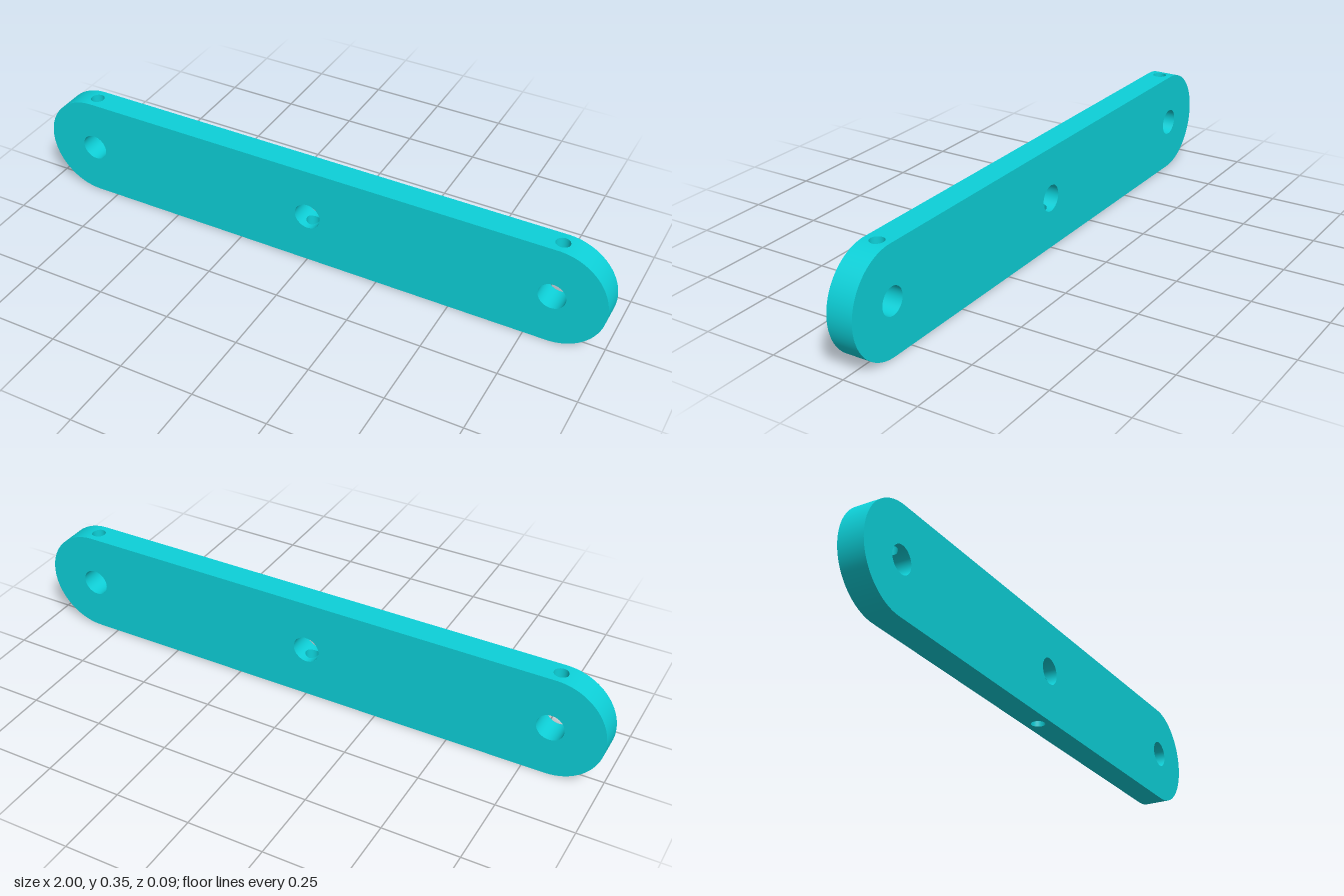
import * as THREE from 'three';
import { ParametricGeometry } from 'three/addons/geometries/ParametricGeometry.js';

const R = 0.174;       // end radius, half the bar height
const D = 0.0435;      // half thickness
const X = 1 - R;       // centre of each end hole
const HOLE = 0.045;    // cross hole radius
const BORE = 0.023;    // set screw bore radius
const W = 0.05;        // half width of the rim patch round a bore
const WI = 0.034;      // half width of the hole wall patch round a bore
const lerp = THREE.MathUtils.lerp;

const material = new THREE.MeshStandardMaterial({ color: 0x0dd0d8, side: THREE.DoubleSide });

function add(parent, name, geometry) {
  const mesh = new THREE.Mesh(geometry, material);
  mesh.name = name;
  parent.add(mesh);
  return mesh;
}

// Rectangle with a round opening, lying on the surface y = height(x)
function patch(height, halfWidth, turn) {
  return new ParametricGeometry((u, v, p) => {
    const a = turn * u * Math.PI * 2, c = Math.cos(a), s = Math.sin(a);
    const m = Math.max(Math.abs(c), Math.abs(s));
    const x = lerp(c * BORE, c * halfWidth / m, v);
    p.set(x, height(x), lerp(s * BORE, s * D / m, v));
  }, 48, 8);
}

// Part of a cylinder wall along z, angles measured clockwise from the top
function arcWall(radius, from, to, turn, steps) {
  return new ParametricGeometry((u, v, p) => {
    const a = lerp(from, to, v);
    p.set(Math.sin(a) * radius, Math.cos(a) * radius, turn * lerp(-D, D, u));
  }, 1, steps);
}

// Cross hole with a small bore running up from it to the rim
function drilledHole(name, rim) {
  const group = new THREE.Group();
  group.name = name;
  const wall = (x) => Math.sqrt(HOLE * HOLE - x * x);
  const start = Math.asin(WI / HOLE);
  add(group, 'crossHoleWall', arcWall(HOLE, start, Math.PI * 2 - start, -1, 48));
  add(group, 'crossHoleOpening', patch(wall, WI, -1));
  add(group, 'screwBore', new ParametricGeometry((u, v, p) => {
    const a = u * Math.PI * 2, x = Math.cos(a) * BORE;
    p.set(x, lerp(wall(x), rim(x), v), Math.sin(a) * BORE);
  }, 48, 1));
  add(group, 'rimOpening', patch(rim, W, 1));
  return group;
}

// Flat piece of rim on the top (side 1) or bottom (side -1)
function flatRim(parent, name, x0, x1, side) {
  const mesh = add(parent, name, new THREE.PlaneGeometry(x1 - x0, 2 * D));
  mesh.rotation.x = -side * Math.PI / 2;
  mesh.position.set((x0 + x1) / 2, side * R, 0);
}

export function createModel() {
  const root = new THREE.Group();
  root.name = 'linkBar';
  const bar = new THREE.Group();
  bar.name = 'bar';
  bar.position.y = R;
  root.add(bar);

  // Broad faces with three through holes
  const outline = new THREE.Shape();
  outline.absarc(X, 0, R, -Math.PI / 2, Math.PI / 2, false);
  outline.absarc(-X, 0, R, Math.PI / 2, Math.PI * 1.5, false);
  outline.closePath();
  for (const x of [-X, 0, X]) {
    outline.holes.push(new THREE.Path().absarc(x, 0, HOLE, 0, Math.PI * 2, true));
  }
  const face = new THREE.ShapeGeometry(outline, 48);
  add(bar, 'frontFace', face).position.z = D;
  const back = add(bar, 'backFace', face);
  back.position.z = -D;
  back.rotation.y = Math.PI;

  // Straight rim pieces
  flatRim(bar, 'topRim', -X + W, X - W, 1);
  flatRim(bar, 'bottomRimRight', -X, -W, -1);
  flatRim(bar, 'bottomRimLeft', W, X, -1);

  // Rounded ends, each with a hole bored from the top
  const endRim = (x) => (x > 0 ? Math.sqrt(R * R - x * x) : R);
  for (const side of [1, -1]) {
    const end = drilledHole(side > 0 ? 'leftEnd' : 'rightEnd', endRim);
    add(end, 'roundedRim', arcWall(R, Math.asin(W / R), Math.PI, 1, 48));
    end.position.x = side * X;
    end.rotation.y = side > 0 ? 0 : Math.PI;
    bar.add(end);
  }

  // Middle hole, bored from below
  const middle = drilledHole('middleHole', () => R);
  middle.rotation.z = Math.PI;
  bar.add(middle);

  return root;
}
